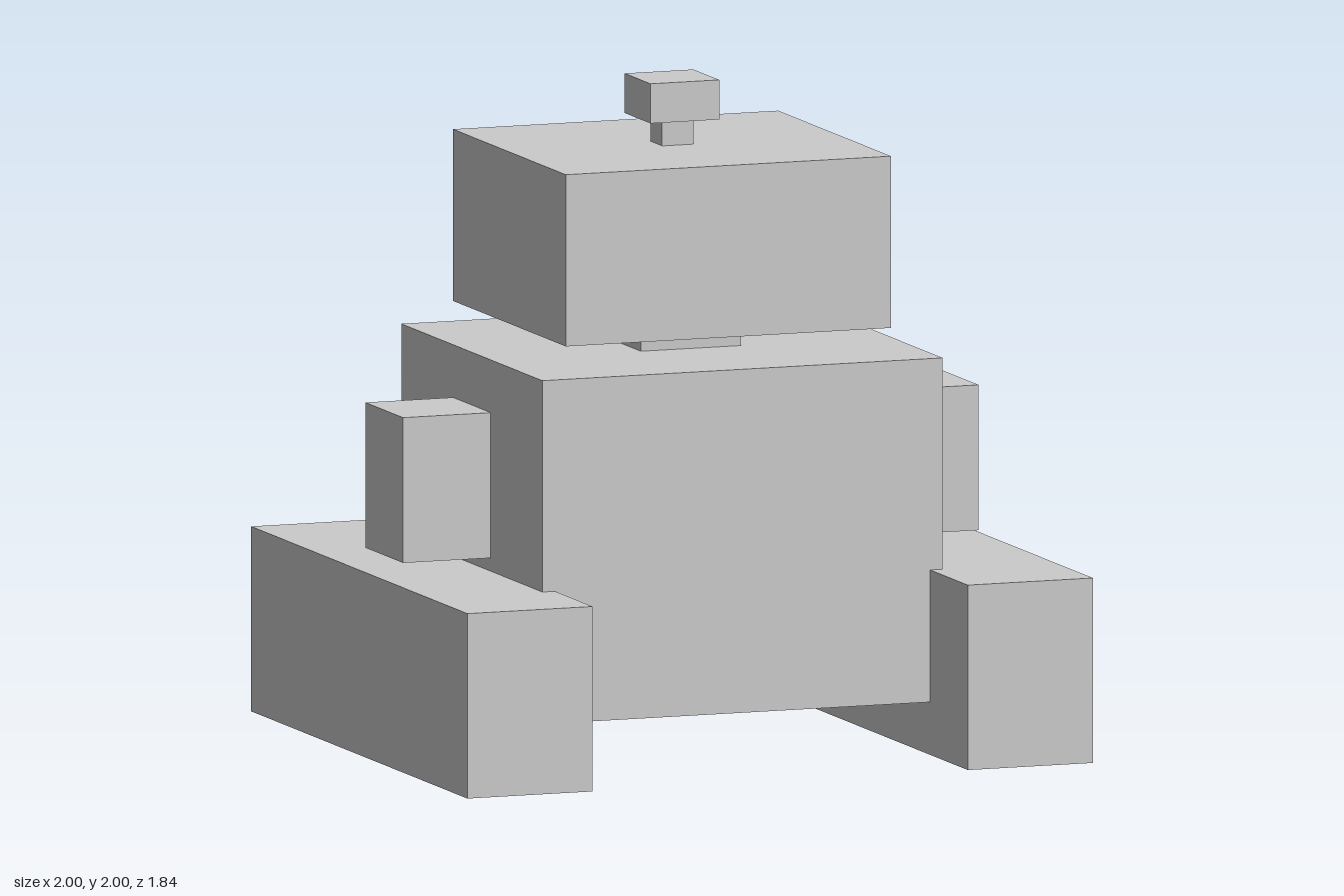
import * as THREE from 'three';

export function createModel() {
  const model = new THREE.Group();
  const material = new THREE.MeshStandardMaterial({ color: 0xcccccc, flatShading: true });

  // Box given by its size and centre
  function addBox(name, [w, h, d], [x, y, z]) {
    const mesh = new THREE.Mesh(new THREE.BoxGeometry(w, h, d), material);
    mesh.name = name;
    mesh.position.set(x, y, z);
    model.add(mesh);
  }

  // Torso with a raised panel on the back
  addBox('body', [1.28, 1.04, 1.2], [0, 0.68, 0]);
  addBox('backPanel', [0.8, 0.4, 0.04], [0, 0.76, -0.62]);

  // Neck and head
  addBox('neck', [0.32, 0.08, 0.32], [0, 1.24, 0]);
  addBox('head', [1.04, 0.52, 0.96], [0, 1.54, 0]);

  // Antenna
  addBox('antennaStem', [0.1, 0.08, 0.1], [0, 1.84, 0]);
  addBox('antennaTip', [0.22, 0.12, 0.22], [0, 1.94, 0]);

  // Tracks and arms on both sides
  for (const [side, s] of [['left', 1], ['right', -1]]) {
    addBox(side + 'Track', [0.4, 0.56, 1.84], [s * 0.8, 0.28, 0]);
    addBox(side + 'Arm', [0.28, 0.44, 0.32], [s * 0.78, 0.82, 0]);
  }

  return model;
}
